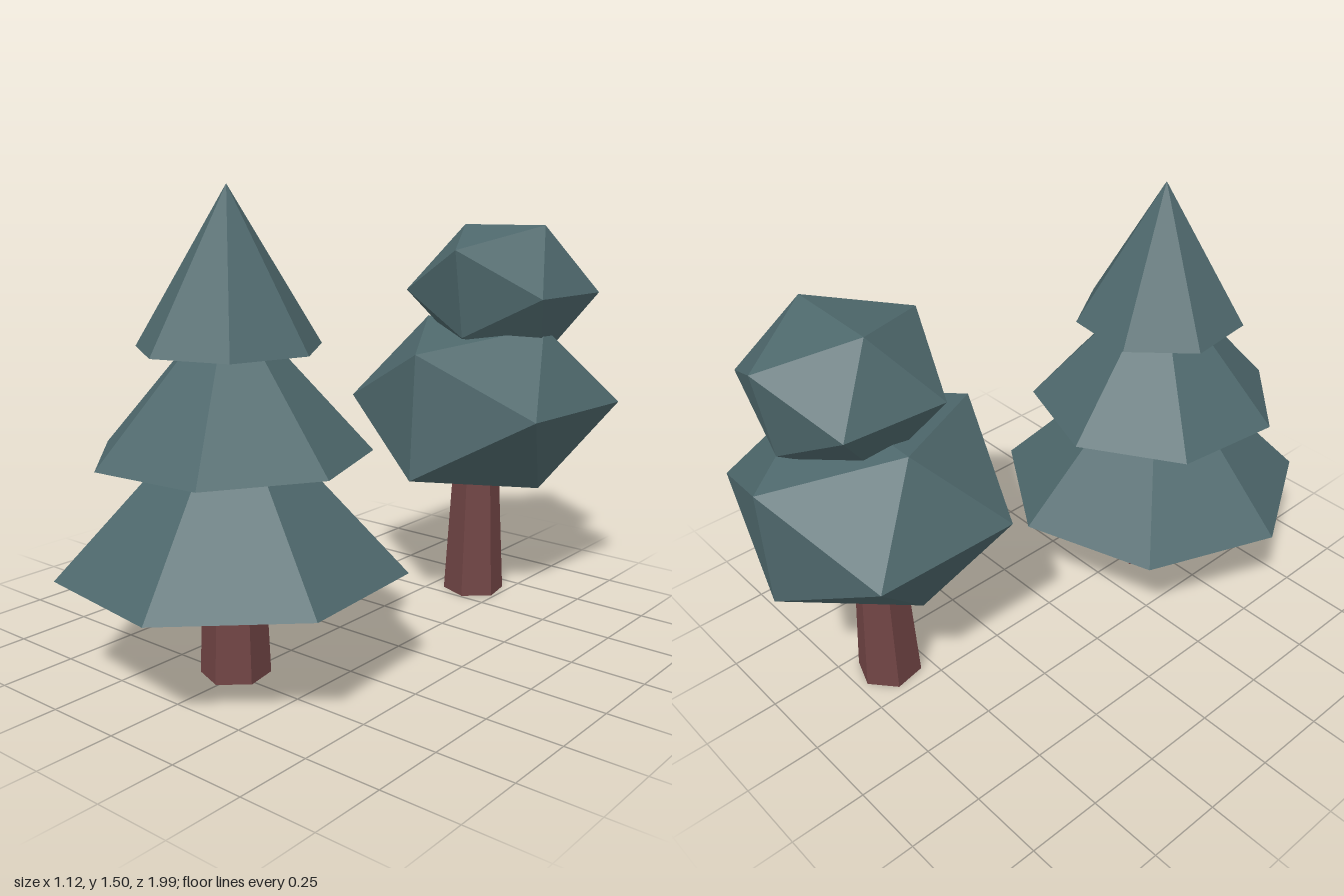
import * as THREE from 'three';
import { ConvexGeometry } from 'three/addons/geometries/ConvexGeometry.js';

const foliage = new THREE.MeshStandardMaterial({ color: 0x4e686c });
foliage.name = 'foliage teal';
const bark = new THREE.MeshStandardMaterial({ color: 0x704444 });
bark.name = 'bark brown';

// Faceted normals for low-poly parts
function faceted(geometry) {
  const g = geometry.toNonIndexed();
  g.computeVertexNormals();
  return g;
}

function addPart(parent, name, geometry, material) {
  const mesh = new THREE.Mesh(geometry, material);
  mesh.name = name;
  parent.add(mesh);
  return mesh;
}

// Tapered six-sided trunk standing on the ground
function addTrunk(parent, height, topRadius, bottomRadius) {
  const g = new THREE.CylinderGeometry(topRadius, bottomRadius, height, 6, 1, false, 0.18);
  addPart(parent, 'trunk', faceted(g), bark).position.y = height / 2;
}

// Twelve-cornered crown: each point is [x, y, z] from the tree's foot
function addCrown(parent, name, points) {
  const g = new ConvexGeometry(points.map((p) => new THREE.Vector3(...p)));
  addPart(parent, name, g, foliage);
}

function createPine() {
  const tree = new THREE.Group();
  tree.name = 'pineTree';
  addTrunk(tree, 0.42, 0.093, 0.11);
  // Stacked seven-sided tiers: name, base height, apex height, radius, turn
  const tiers = [
    ['lowerTier', 0.355, 0.915, 0.538, 0.31],
    ['middleTier', 0.705, 1.185, 0.428, 0.555],
    ['topTier', 1.025, 1.5, 0.285, 0.785],
  ];
  for (const [name, base, apex, radius, turn] of tiers) {
    const g = new THREE.ConeGeometry(radius, apex - base, 7, 1, false, turn);
    addPart(tree, name, faceted(g), foliage).position.y = (base + apex) / 2;
  }
  return tree;
}

function createRoundTree() {
  const tree = new THREE.Group();
  tree.name = 'roundTree';
  addTrunk(tree, 0.52, 0.08, 0.109);
  addCrown(tree, 'lowerCrown', [
    [0.255, 1.0, -0.01], [-0.23, 1.0, -0.01], [0.26, 0.43, 0], [-0.23, 0.43, 0],
    [0.005, 0.93, 0.395], [0.005, 0.92, -0.385], [0.005, 0.5, 0.42], [0.005, 0.52, -0.375],
    [0.42, 0.72, -0.265], [0.373, 0.72, 0.225], [-0.39, 0.72, 0.235], [-0.385, 0.72, -0.245],
  ]);
  addCrown(tree, 'upperCrown', [
    [0.235, 1.345, -0.03], [-0.09, 1.337, -0.03], [0.235, 0.885, -0.03], [-0.09, 0.885, -0.03],
    [0.065, 1.27, 0.26], [0.065, 1.26, -0.31], [0.065, 0.97, 0.21], [0.065, 0.97, -0.265],
    [0.353, 1.11, -0.21], [0.315, 1.11, 0.11], [-0.217, 1.11, 0.145], [-0.195, 1.11, -0.195],
  ]);
  return tree;
}

export function createModel() {
  const model = new THREE.Group();
  model.name = 'twoTrees';
  const pine = createPine();
  pine.position.set(-0.026, 0, 0.479);
  const round = createRoundTree();
  round.position.set(0.137, 0, -0.615);
  model.add(pine, round);
  return model;
}
